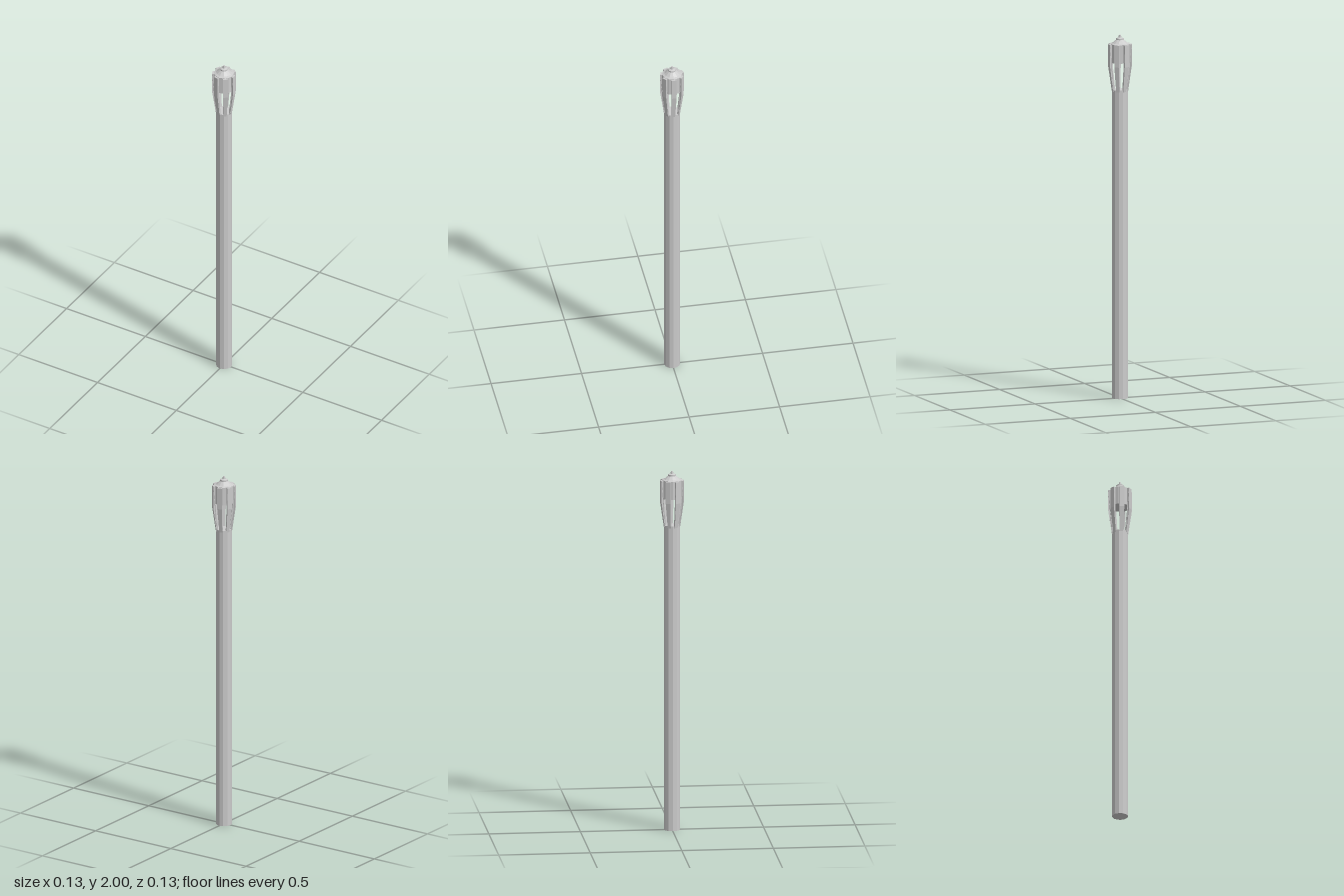
import * as THREE from 'three';

const SLATS = 7;

export function createModel() {
  const torch = new THREE.Group();
  torch.name = 'torch';
  const grey = new THREE.MeshStandardMaterial({ color: 0xcccccc, flatShading: true });

  const add = (name, geometry, parent = torch) => {
    const mesh = new THREE.Mesh(geometry, grey);
    mesh.name = name;
    parent.add(mesh);
    return mesh;
  };

  // Long pole
  const pole = add('pole', new THREE.CylinderGeometry(0.044, 0.044, 1.7, 12));
  pole.position.y = 0.85;

  // Closed burner head with stepped, conical lid and a small tip
  const profile = [
    [0, 1.85], [0.055, 1.85], [0.055, 1.952], [0.043, 1.956], [0.021, 1.974],
    [0.021, 1.982], [0.008, 1.986], [0.006, 2], [0, 2],
  ].map(([r, y]) => new THREE.Vector2(r, y));
  add('burnerHead', new THREE.LatheGeometry(profile, 12));

  // Bent slat: upright beside the head, then leaning in to the pole
  const side = new THREE.Shape([
    [0.064, 1.95], [0.052, 1.95], [0.052, 1.83], [0.034, 1.69], [0.044, 1.69], [0.064, 1.83],
  ].map(([r, y]) => new THREE.Vector2(r, y)));
  const slat = new THREE.ExtrudeGeometry(side, { depth: 0.027, bevelEnabled: false });
  slat.translate(0, 0, -0.0135);

  // Narrow the slat towards its foot
  const pos = slat.attributes.position;
  for (let i = 0; i < pos.count; i++) {
    if (pos.getY(i) < 1.75) pos.setZ(i, pos.getZ(i) * 0.65);
  }
  slat.computeVertexNormals();

  // Ring of slats
  const cage = new THREE.Group();
  cage.name = 'slatCage';
  torch.add(cage);
  for (let i = 0; i < SLATS; i++) {
    add('slat', slat, cage).rotation.y = (i / SLATS) * Math.PI * 2;
  }

  return torch;
}
